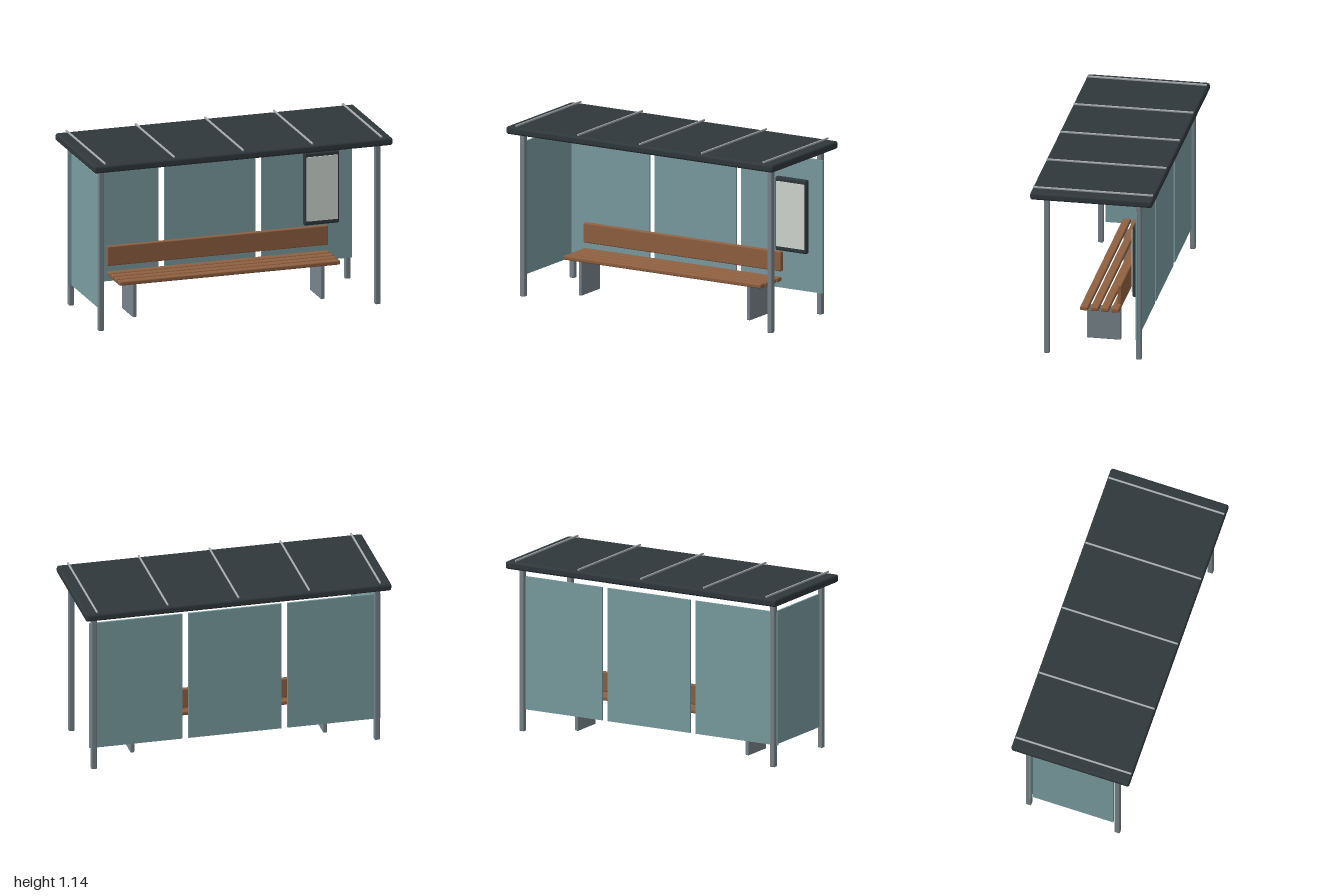
import * as THREE from 'three';
import { RoundedBoxGeometry } from 'three/addons/geometries/RoundedBoxGeometry.js';

const paint = (color, options = {}) => new THREE.MeshStandardMaterial({ color, ...options });

export function createModel() {
  const shelter = new THREE.Group();
  shelter.name = 'busShelter';

  const steel = paint(0x78838a);
  const dark = paint(0x30383c);
  const glass = paint(0x7a9da1);
  const wood = paint(0x8f6040);
  const paper = paint(0xd2d8d2);
  const ribMetal = paint(0xa8acae);

  // Box with optional rounded edges, placed by its centre
  function block(name, material, [w, h, d], [x, y, z], radius = 0, parent = shelter) {
    const geometry = radius
      ? new RoundedBoxGeometry(w, h, d, 3, radius)
      : new THREE.BoxGeometry(w, h, d);
    const mesh = new THREE.Mesh(geometry, material);
    mesh.name = name;
    mesh.position.set(x, y, z);
    parent.add(mesh);
    return mesh;
  }

  // Roof slab with raised ribs
  block('roof', dark, [2, 0.05, 0.79], [0, 1.095, 0], 0.016);
  for (let i = -2; i <= 2; i++) {
    block('roofRib', ribMetal, [0.011, 0.012, 0.776], [i * 0.463, 1.13, 0], 0.003);
  }

  // Corner posts
  for (const x of [-0.926, 0.926]) {
    for (const z of [-0.297, 0.297]) {
      block('post', steel, [0.036, 1.075, 0.036], [x, 0.5375, z], 0.007);
    }
  }

  // Three rear panes and one pane closing the right end
  for (const x of [-0.648, 0, 0.648]) {
    block('rearPane', glass, [0.608, 0.87, 0.012], [x, 0.575, -0.284]);
  }
  block('sidePane', glass, [0.012, 0.87, 0.536], [-0.926, 0.575, 0]);

  // Bench: seat slats, backrest and plate legs
  const bench = new THREE.Group();
  bench.name = 'bench';
  shelter.add(bench);
  for (let i = 0; i < 4; i++) {
    block('seatSlat', wood, [1.48, 0.028, 0.052], [0, 0.239, 0.094 - i * 0.067], 0.008, bench);
  }
  block('backrest', wood, [1.48, 0.13, 0.03], [0, 0.353, -0.135], 0.008, bench);
  for (const x of [-0.63, 0.63]) {
    block('benchLeg', steel, [0.026, 0.224, 0.22], [x, 0.112, -0.017], 0.006, bench);
  }

  // Poster case on the rear wall
  const posterCase = new THREE.Group();
  posterCase.name = 'posterCase';
  shelter.add(posterCase);
  block('posterFrame', dark, [0.236, 0.482, 0.037], [0.738, 0.631, -0.2585], 0.012, posterCase);
  block('posterSheet', paper, [0.207, 0.425, 0.008], [0.738, 0.632, -0.237], 0, posterCase);

  return shelter;
}
